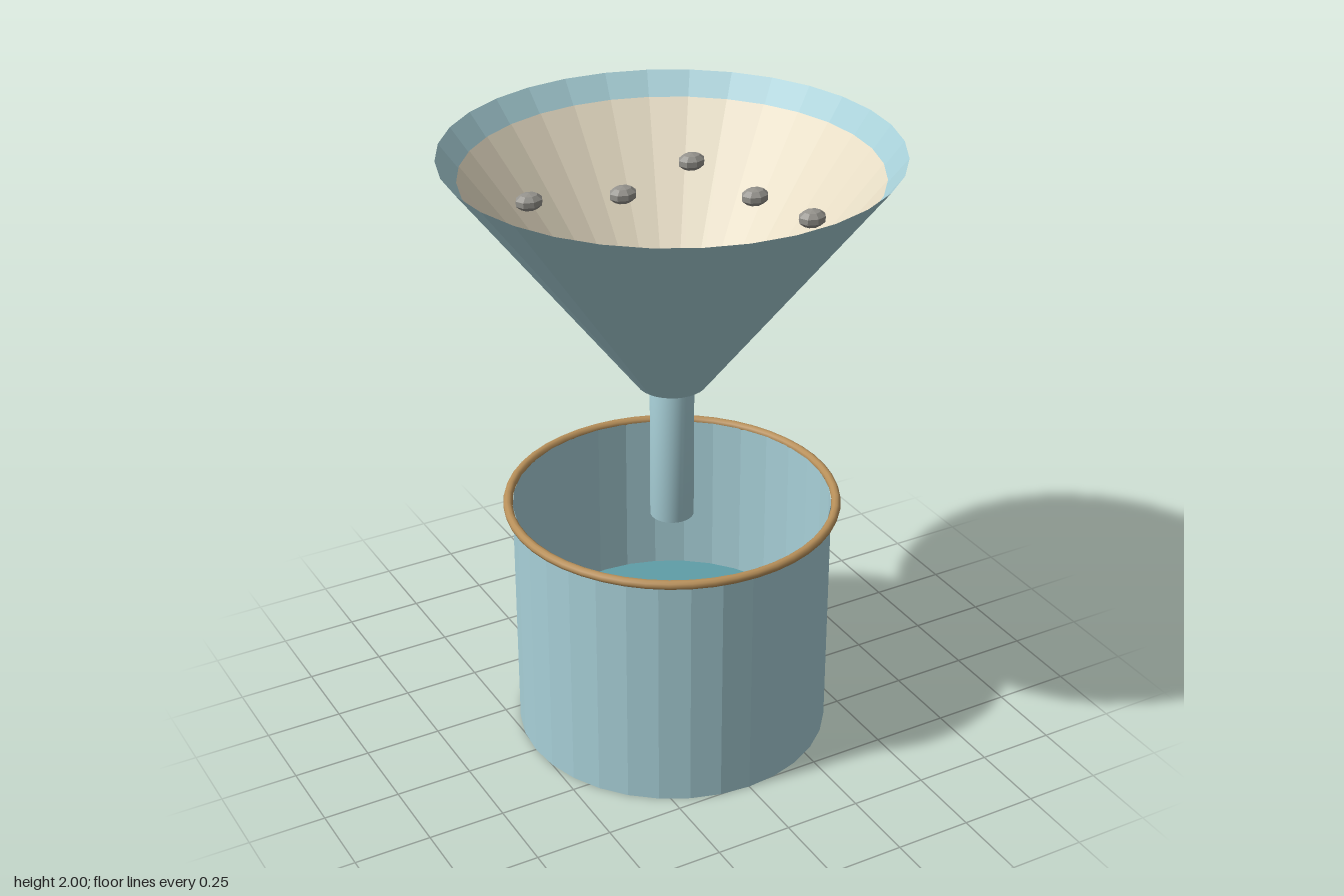
import * as THREE from 'three';
import { mergeVertices } from 'three/addons/utils/BufferGeometryUtils.js';

const mat = (name, color, extra = {}) =>
  Object.assign(new THREE.MeshStandardMaterial({ color, ...extra }), { name });

export function createModel() {
  const model = new THREE.Group();
  model.name = 'filtrationSetup';

  const open = { flatShading: true, side: THREE.DoubleSide };
  const glass = mat('paleGlass', 0xa8d0d8, open);
  const stemGlass = mat('stemGlass', 0xa8d0d8);
  const paper = mat('filterPaper', 0xe8dec6, open);
  const liquid = mat('tealLiquid', 0x5f9ea8, { flatShading: true });
  const brass = mat('tanRim', 0xb8905a);
  const stone = mat('greyGrain', 0x95938d, { flatShading: true });

  const add = (name, geometry, material, x = 0, y = 0, z = 0) => {
    const mesh = new THREE.Mesh(geometry, material);
    mesh.name = name;
    mesh.position.set(x, y, z);
    model.add(mesh);
    return mesh;
  };

  // Cylinder or cone between two heights
  const tube = (rTop, rBottom, y0, y1, openEnded) =>
    new THREE.CylinderGeometry(rTop, rBottom, y1 - y0, 32, 1, openEnded).translate(0, (y0 + y1) / 2, 0);

  // Beaker with its rim and contents
  add('beakerWall', tube(0.51, 0.51, 0, 0.815, true), glass);
  add('beakerRim', new THREE.TorusGeometry(0.525, 0.015, 10, 48).rotateX(Math.PI / 2), brass, 0, 0.815, 0);
  add('beakerLiquid', tube(0.475, 0.475, 0.03, 0.28, false), liquid);

  // Funnel cone and the paper cone resting in it
  add('funnelCone', tube(0.7, 0.11, 1.23, 2, true), glass);
  add('filterCone', tube(0.64, 0.13, 1.27, 1.93, true), paper);

  // Stem, with normals blended over its ends
  const stem = tube(0.07, 0.07, 0.76, 1.25, false);
  stem.deleteAttribute('normal');
  stem.deleteAttribute('uv');
  const softStem = mergeVertices(stem);
  softStem.computeVertexNormals();
  add('funnelStem', softStem, stemGlass);

  // Flattened grains, all at one height
  const grain = new THREE.SphereGeometry(0.047, 8, 5).scale(1, 0.6, 0.8);
  const spots = [
    [0.26, -0.34], [-0.33, -0.3], [-0.055, -0.21], [0.29, 0],
    [0.355, 0.225], [0.04, 0.435], [-0.165, 0.32], [-0.39, 0.07],
  ];
  spots.forEach(([x, z], i) => add(`grain${i + 1}`, grain, stone, x, 1.795, z));

  return model;
}
